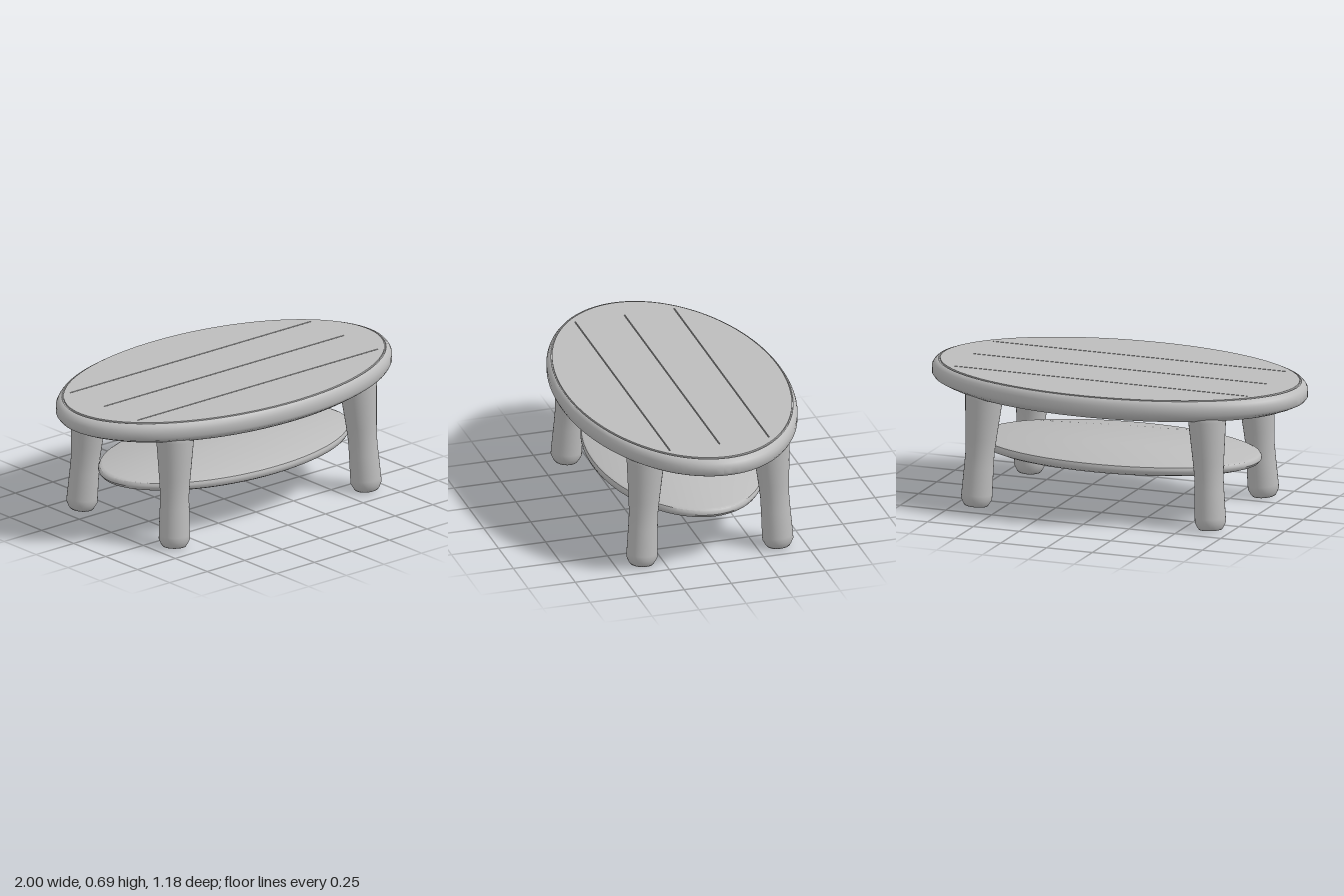
import * as THREE from 'three';
import { toCreasedNormals } from 'three/addons/utils/BufferGeometryUtils.js';

const grey = new THREE.MeshStandardMaterial({ color: 0xbcbcbc });
grey.name = 'plain grey';

const toPoints = (profile) => profile.map(([r, y]) => new THREE.Vector2(r, y));

function addMesh(parent, name, geometry) {
  const mesh = new THREE.Mesh(geometry, grey);
  mesh.name = name;
  parent.add(mesh);
  return mesh;
}

// Oval slab: a turned profile squashed in depth
function ovalSlab(profile, depthRatio) {
  const geo = new THREE.LatheGeometry(toPoints(profile), 96);
  geo.scale(1, 1, depthRatio);
  return toCreasedNormals(geo, 0.65);
}

export function createModel() {
  const table = new THREE.Group();
  table.name = 'ovalTable';
  const topRatio = 0.588;

  // Rounded tabletop body, recessed slightly inside the rim
  addMesh(table, 'tabletop', ovalSlab([
    [0, 0.574], [0.92, 0.574], [0.96, 0.589], [0.988, 0.602], [1, 0.618],
    [1, 0.652], [0.99, 0.67], [0.975, 0.685], [0.965, 0.688], [0.962, 0.684], [0, 0.684],
  ], topRatio));

  // Top panel with three slots that read as plank seams
  const oval = new THREE.Shape();
  oval.absellipse(0, 0, 0.955, 0.955 * topRatio, 0, Math.PI * 2);
  for (const z of [-0.263, 0, 0.263]) {
    const w = 0.8, h = 0.003;
    oval.holes.push(new THREE.Path([
      new THREE.Vector2(-w, z - h), new THREE.Vector2(-w, z + h),
      new THREE.Vector2(w, z + h), new THREE.Vector2(w, z - h),
    ]));
  }
  const panel = new THREE.ExtrudeGeometry(oval, { depth: 0.008, bevelEnabled: false, curveSegments: 96 });
  panel.rotateX(-Math.PI / 2).translate(0, 0.684, 0);
  addMesh(table, 'topPanel', toCreasedNormals(panel, 0.65));

  // Lower shelf
  addMesh(table, 'shelf', ovalSlab([
    [0, 0.25], [0.71, 0.25], [0.742, 0.26], [0.755, 0.276],
    [0.755, 0.287], [0.747, 0.299], [0.73, 0.305], [0, 0.305],
  ], 0.563));

  // Four splayed legs, flaring toward the top
  const legGeo = new THREE.LatheGeometry(toPoints([
    [0, 0], [0.06, 0], [0.068, 0.012], [0.079, 0.035], [0.079, 0.06], [0.075, 0.2],
    [0.074, 0.27], [0.079, 0.35], [0.088, 0.46], [0.096, 0.56], [0.097, 0.585], [0.09, 0.6], [0, 0.6],
  ]), 32);
  for (const sx of [-1, 1]) {
    for (const sz of [-1, 1]) {
      const name = (sz > 0 ? 'front' : 'back') + (sx > 0 ? 'Left' : 'Right') + 'Leg';
      const leg = addMesh(table, name, legGeo);
      leg.position.set(sx * 0.64, 0.005, sz * 0.363);
      leg.rotation.set(-sz * 0.054, 0, sx * 0.056);
    }
  }
  return table;
}
